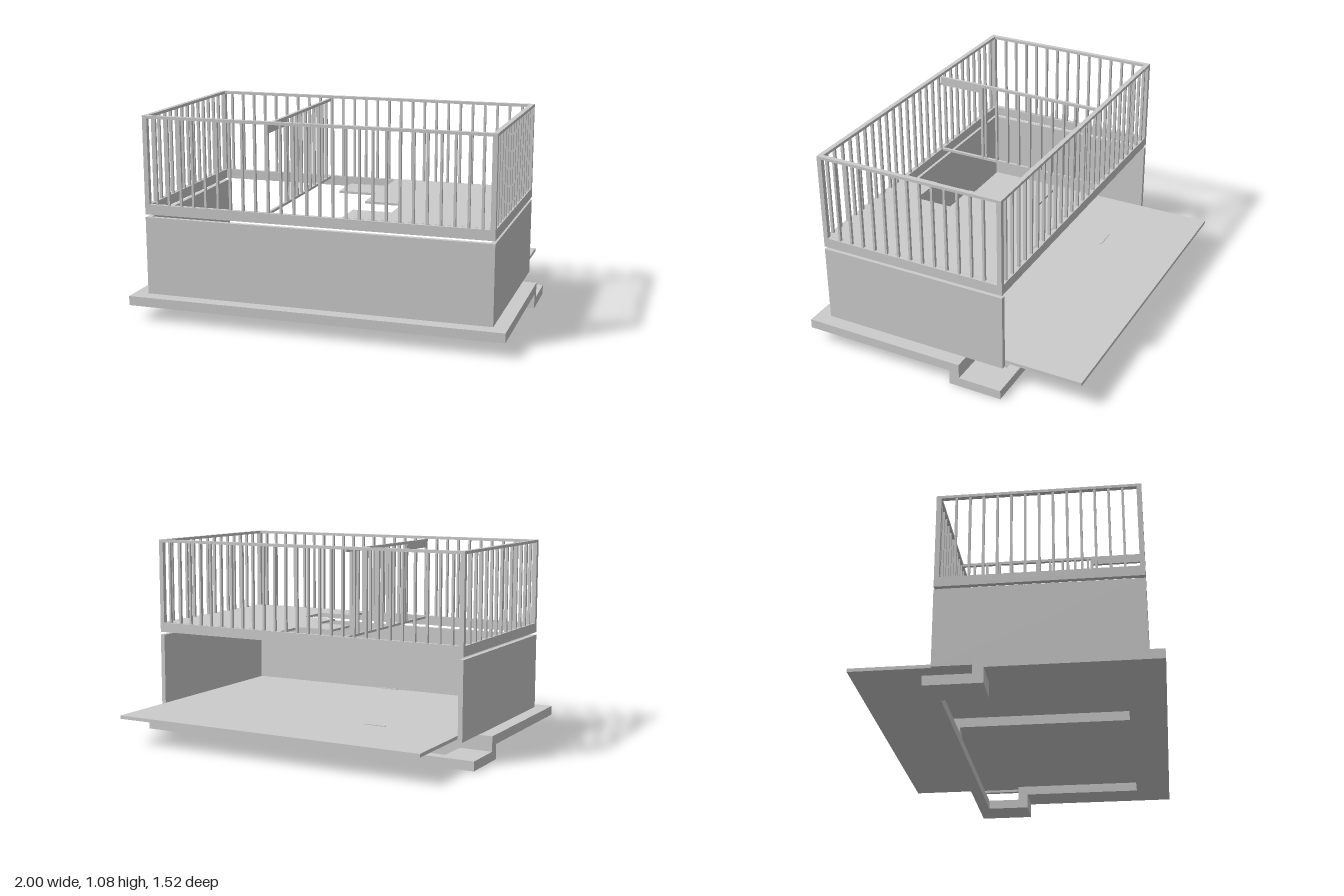
import * as THREE from 'three';

const material = new THREE.MeshStandardMaterial({ color: 0xcccccc, flatShading: true });

// Box given by its min and max on each axis
function block(parent, name, [x0, x1], [y0, y1], [z0, z1]) {
  const mesh = new THREE.Mesh(new THREE.BoxGeometry(x1 - x0, y1 - y0, z1 - z0), material);
  mesh.position.set((x0 + x1) / 2, (y0 + y1) / 2, (z0 + z1) / 2);
  mesh.name = name;
  parent.add(mesh);
  return mesh;
}

// Outline of [z, y] points extruded from x0 to x1
function profileAlongX(parent, name, points, x0, x1) {
  const shape = new THREE.Shape(points.map(([z, y]) => new THREE.Vector2(-z, y)));
  const geometry = new THREE.ExtrudeGeometry(shape, { depth: x1 - x0, bevelEnabled: false });
  geometry.rotateY(Math.PI / 2);
  geometry.translate(x0, 0, 0);
  // the rotation sends the outline's first axis to -z
  const mesh = new THREE.Mesh(geometry, material);
  mesh.name = name;
  parent.add(mesh);
}

function group(parent, name) {
  const g = new THREE.Group();
  g.name = name;
  parent.add(g);
  return g;
}

const X = 0.925, BACK = -0.345, FRONT = 0.685; // footprint of tub and cage
const T = 0.025;                               // wall and frame thickness

// Stepped base frame with two openings
function addBase(model) {
  const base = group(model, 'base');
  const step = [[0.76, 0.08], [0.76, 0.13], [-0.135, 0.13], [-0.135, 0.05],
    [-0.37, 0.05], [-0.37, 0], [-0.08, 0], [-0.08, 0.08]];
  profileAlongX(base, 'baseSideLeft', step, 0.815, 1);
  profileAlongX(base, 'baseSideRight', step, -1, -0.82);
  block(base, 'baseFront', [-0.82, 0.815], [0.08, 0.13], [0.57, 0.76]);
  block(base, 'baseBack', [-0.82, 0.815], [0, 0.05], [-0.37, -0.31]);
  block(base, 'baseDivider', [-0.28, -0.21], [0.08, 0.13], [-0.31, 0.57]);
  block(base, 'baseDividerFoot', [-0.28, -0.21], [0.05, 0.13], [-0.345, -0.31]);
}

// Tub open at the back, with a floor tray sliding out
function addTub(model) {
  const tub = group(model, 'tub');
  block(tub, 'tubFront', [-X, X], [0.13, 0.545], [FRONT - T, FRONT]);
  for (const s of [-1, 1]) {
    const [a, b] = [s * X, s * (X - T)].sort((p, q) => p - q);
    block(tub, 'tubSide', [a, b], [0.13, 0.545], [BACK, FRONT - T]);
  }
  block(tub, 'floorTray', [-0.89, 0.89], [0.14, 0.158], [-0.76, 0.65]);
  block(tub, 'floorClip', [-0.48, -0.36], [0.158, 0.162], [-0.315, -0.305]);
  block(tub, 'floorClip', [-0.08, 0.06], [0.158, 0.162], [0.637, 0.647]);
  block(tub, 'floorClip', [-0.895, -0.885], [0.158, 0.162], [0.1, 0.23]);
}

// Barred cage: lower frame, top rail, corner posts and bars
function addCage(model) {
  const cage = group(model, 'cage');
  for (const [name, y] of [['lowerFrame', [0.56, 0.613]], ['topRail', [1.065, 1.08]]]) {
    block(cage, name, [-X, X], y, [FRONT - T, FRONT]);
    block(cage, name, [-X, X], y, [BACK, BACK + T]);
    block(cage, name, [-X, -X + T], y, [BACK + T, FRONT - T]);
    block(cage, name, [X - T, X], y, [BACK + T, FRONT - T]);
  }
  const bars = [0.613, 1.065];
  for (const x of [-X, X - T])
    for (const z of [BACK, FRONT - T]) block(cage, 'cornerPost', [x, x + T], bars, [z, z + T]);
  const w = 0.006;
  for (let i = 0; i < 26; i++) {
    const x = -0.86 + i * 0.0688;
    for (const z of [BACK, FRONT - T])
      block(cage, 'bar', [x - w, x + w], bars, [z + 0.005, z + T - 0.005]);
  }
  for (let i = 0; i < 13; i++) {
    const z = 0.59 - i * 0.0695;
    for (const x of [-X, X - T])
      block(cage, 'sideBar', [x + 0.005, x + T - 0.005], bars, [z - w, z + w]);
  }
}

// Barred partition across the cage with a doorway at the front
function addPartition(model) {
  const part = group(model, 'partition');
  const x = [-0.257, -0.241];
  block(part, 'partitionRail', x, [1.05, 1.065], [-0.32, 0.66]);
  block(part, 'partitionSill', x, [0.6, 0.613], [-0.32, 0.66]);
  block(part, 'doorHeader', x, [1.017, 1.065], [0.39, 0.66]);
  block(part, 'doorJamb', x, [0.613, 1.05], [0.388, 0.402]);
  for (let i = 0; i < 10; i++) {
    const z = 0.373 - i * 0.0695;
    block(part, 'partitionBar', x, [0.613, 1.05], [z - 0.006, z + 0.006]);
  }
}

// Upper deck over one half, with an interlocking tab and notch
function addDeck(model) {
  const outline = [[0.9, -0.32], [0.145, -0.32], [0.145, -0.14], [-0.065, -0.14], [-0.065, 0.065],
    [0.145, 0.065], [0.145, 0.27], [0.35, 0.27], [0.35, 0.475], [0.145, 0.475], [0.145, 0.66], [0.9, 0.66]];
  const shape = new THREE.Shape(outline.map(([x, z]) => new THREE.Vector2(x, -z)));
  const geometry = new THREE.ExtrudeGeometry(shape, { depth: 0.012, bevelEnabled: false });
  geometry.rotateX(-Math.PI / 2);
  geometry.translate(0, 0.602, 0);
  const deck = new THREE.Mesh(geometry, material);
  deck.name = 'upperDeck';
  model.add(deck);
}

export function createModel() {
  const model = new THREE.Group();
  model.name = 'petEnclosure';
  addBase(model);
  addTub(model);
  addCage(model);
  addPartition(model);
  addDeck(model);
  return model;
}
